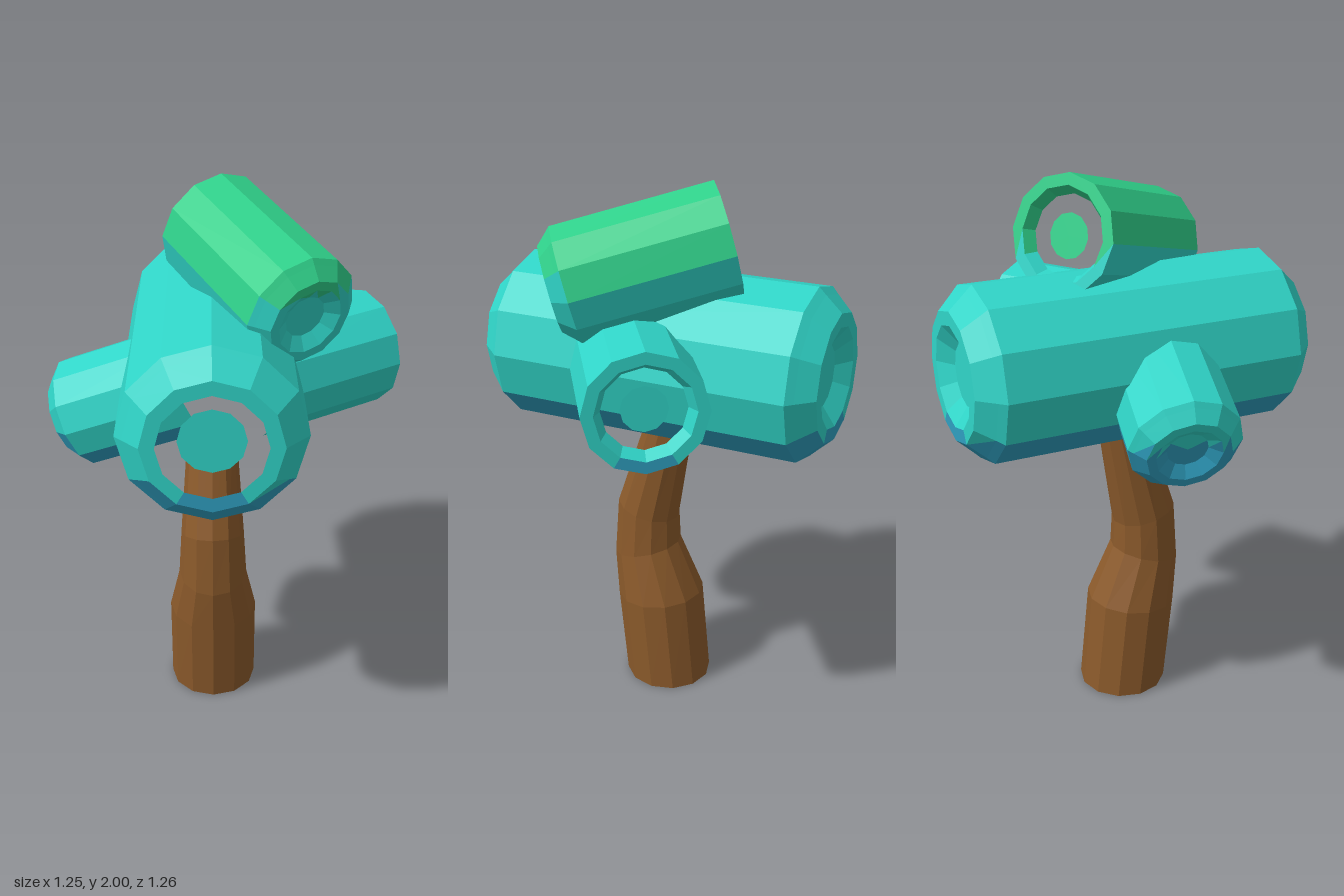
import * as THREE from 'three';

const SIDES = 12;

function material(name, color) {
  const m = new THREE.MeshStandardMaterial({ color });
  m.name = name;
  return m;
}

// Place a geometry made along y onto an axis, with one corner turned upward
function place(geometry, origin, dir) {
  const up = new THREE.Vector3(0, 1, 0).addScaledVector(dir, -dir.y).normalize();
  const side = new THREE.Vector3().crossVectors(dir, up);
  const matrix = new THREE.Matrix4().makeBasis(side, dir, up).setPosition(origin);
  return geometry.applyMatrix4(matrix);
}

// Facet the geometry and sort its triangles by height: blue below, teal between, green above
function colourByHeight(indexed) {
  const source = indexed.toNonIndexed().getAttribute('position');
  const buckets = [[], [], []];
  const v = [0, 1, 2].map(() => new THREE.Vector3());
  const tri = new THREE.Triangle(...v);
  for (let i = 0; i < source.count; i += 3) {
    v.forEach((p, k) => p.fromBufferAttribute(source, i + k));
    tri.set(...v);
    if (tri.getArea() < 1e-8) continue;
    const y = (v[0].y + v[1].y + v[2].y) / 3;
    const b = y < 1.2 ? 0 : y < 1.74 ? 1 : 2;
    v.forEach((p) => buckets[b].push(p.x, p.y, p.z));
  }
  const geometry = new THREE.BufferGeometry();
  geometry.setAttribute('position', new THREE.Float32BufferAttribute(buckets.flat(), 3));
  let start = 0;
  buckets.forEach((b, k) => {
    if (b.length) geometry.addGroup(start, b.length / 3, k);
    start += b.length / 3;
  });
  geometry.computeVertexNormals();
  return geometry;
}

// End profiles from the outer wall inward: [radius, distance past the wall], as parts of the radius
const ENDS = {
  hidden: [[[1, 0]]],
  closed: [[[1, 0], [0.92, 0.08], [0.74, 0.27], [0.58, 0.27], [0.36, 0.12], [0, 0.12]]],
  hollow: [[[1, 0], [0.92, 0.08], [0.74, 0.27], [0.58, 0.27]], [[0.36, 0.12], [0, 0.12]]],
  cut: [[[1, 0], [0.8, 0], [0.68, -0.2]], [[0.38, -0.2], [0, -0.2]]],
};

export function createModel() {
  const model = new THREE.Group();
  model.name = 'logTree';
  const brown = material('bark brown', 0x8b5a2b);
  const foliage = [
    material('deep blue', 0x2f9fc0),
    material('teal', 0x30d5c8),
    material('green', 0x2fd08a),
  ];

  // A faceted log between two points
  function log(name, from, to, r, startEnd, finishEnd) {
    const a = new THREE.Vector3(...from);
    const dir = new THREE.Vector3(...to).sub(a);
    const length = dir.length();
    dir.normalize();
    const group = new THREE.Group();
    group.name = name;
    const start = ENDS[startEnd].map((run) =>
      run.map(([x, y]) => new THREE.Vector2(x * r, -y * r)).reverse());
    const finish = ENDS[finishEnd].map((run) =>
      run.map(([x, y]) => new THREE.Vector2(x * r, length + y * r)));
    const pieces = [[...start[0], ...finish[0]], ...start.slice(1), ...finish.slice(1)];
    pieces.forEach((points, i) => {
      const lathe = new THREE.LatheGeometry(points, SIDES);
      const mesh = new THREE.Mesh(colourByHeight(place(lathe, a, dir)), foliage);
      mesh.name = i ? name + 'EndDisc' : name + 'Shell';
      group.add(mesh);
    });
    model.add(group);
  }

  log('mainLog', [-0.04, 1.365, -0.545], [-0.04, 1.365, 0.545], 0.31, 'closed', 'hollow');
  log('rightLog', [-0.1, 1.36, 0.09], [-0.51, 1.19, 0.005], 0.197, 'hidden', 'closed');
  log('leftLog', [0.08, 1.365, 0.11], [0.515, 1.365, -0.175], 0.21, 'hidden', 'cut');
  log('topLog', [-0.03, 1.8, -0.22], [0.25, 1.66, 0.25], 0.207, 'cut', 'closed');

  // Bent trunk: [height, z, radius, tilt of the ring along z]
  const rings = [
    [0, 0, 0.165, 0],
    [0.36, 0.035, 0.165, -0.09],
    [0.55, 0.09, 0.127, -0.26],
    [0.72, 0.085, 0.117, 0.26],
    [1.12, -0.01, 0.088, 0],
  ];
  const trunk = new THREE.CylinderGeometry(1, 1, 1, SIDES, rings.length - 1);
  const p = trunk.getAttribute('position');
  for (let i = 0; i < p.count; i++) {
    const [h, z, r, tilt] = rings[Math.round((p.getY(i) + 0.5) * (rings.length - 1))];
    const dz = p.getZ(i) * r;
    p.setXYZ(i, -0.04 + p.getX(i) * r, h + dz * tilt, z + dz);
  }
  const facetedTrunk = trunk.toNonIndexed();
  facetedTrunk.computeVertexNormals();
  const trunkMesh = new THREE.Mesh(facetedTrunk, brown);
  trunkMesh.name = 'trunk';
  model.add(trunkMesh);

  return model;
}
